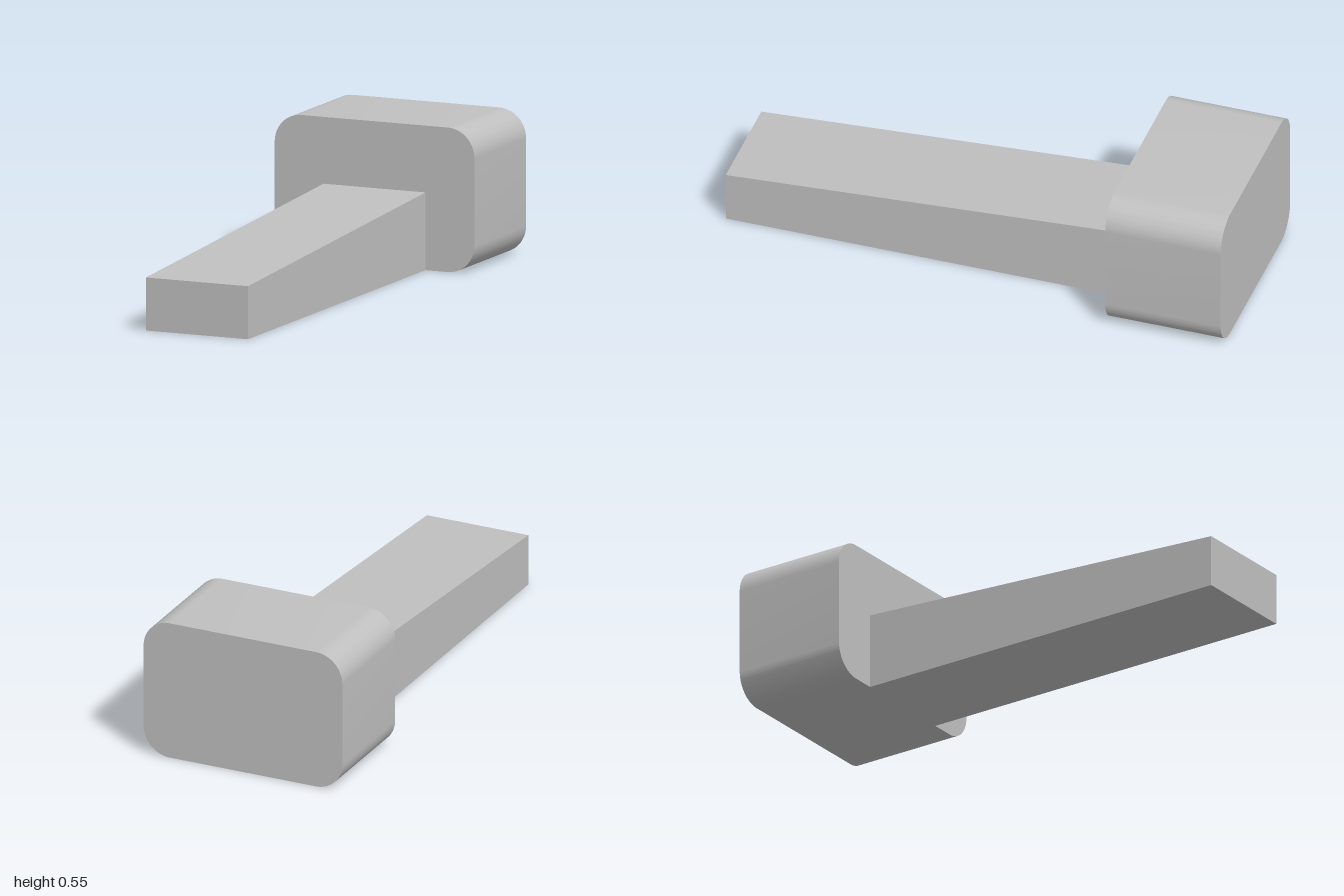
import * as THREE from 'three';
import { toCreasedNormals } from 'three/addons/utils/BufferGeometryUtils.js';

const HEAD = { halfWidth: 0.409, height: 0.545, radius: 0.109, back: -1, front: -0.549 };
const HANDLE = { halfWidth: 0.209, tipHeight: 0.2, rootHeight: 0.293, tip: 1 };

// Rectangle with rounded corners, standing on y = 0
function roundedRect(w, h, r) {
  const s = new THREE.Shape();
  s.absarc(w - r, r, r, -Math.PI / 2, 0);
  s.absarc(w - r, h - r, r, 0, Math.PI / 2);
  s.absarc(-w + r, h - r, r, Math.PI / 2, Math.PI);
  s.absarc(-w + r, r, r, Math.PI, Math.PI * 1.5);
  s.closePath();
  return s;
}

export function createModel() {
  const group = new THREE.Group();
  const grey = new THREE.MeshStandardMaterial({ color: 0xc0c0c0 });
  grey.name = 'grey';

  const add = (name, geometry) => {
    const mesh = new THREE.Mesh(geometry, grey);
    mesh.name = name;
    group.add(mesh);
  };

  // Block head: smooth corners, sharp front and back edges
  const head = new THREE.ExtrudeGeometry(
    roundedRect(HEAD.halfWidth, HEAD.height, HEAD.radius),
    { depth: HEAD.front - HEAD.back, bevelEnabled: false, curveSegments: 16 }
  );
  head.translate(0, 0, HEAD.back);
  add('head', toCreasedNormals(head, 0.5));

  // Tapered handle: side profile (z, y) extruded across x
  const profile = new THREE.Shape([
    new THREE.Vector2(HEAD.front, 0),
    new THREE.Vector2(HANDLE.tip, 0),
    new THREE.Vector2(HANDLE.tip, HANDLE.tipHeight),
    new THREE.Vector2(HEAD.front, HANDLE.rootHeight),
  ]);
  const handle = new THREE.ExtrudeGeometry(profile, { depth: HANDLE.halfWidth * 2, bevelEnabled: false });
  handle.rotateY(-Math.PI / 2).translate(HANDLE.halfWidth, 0, 0);
  add('handle', handle);

  return group;
}
